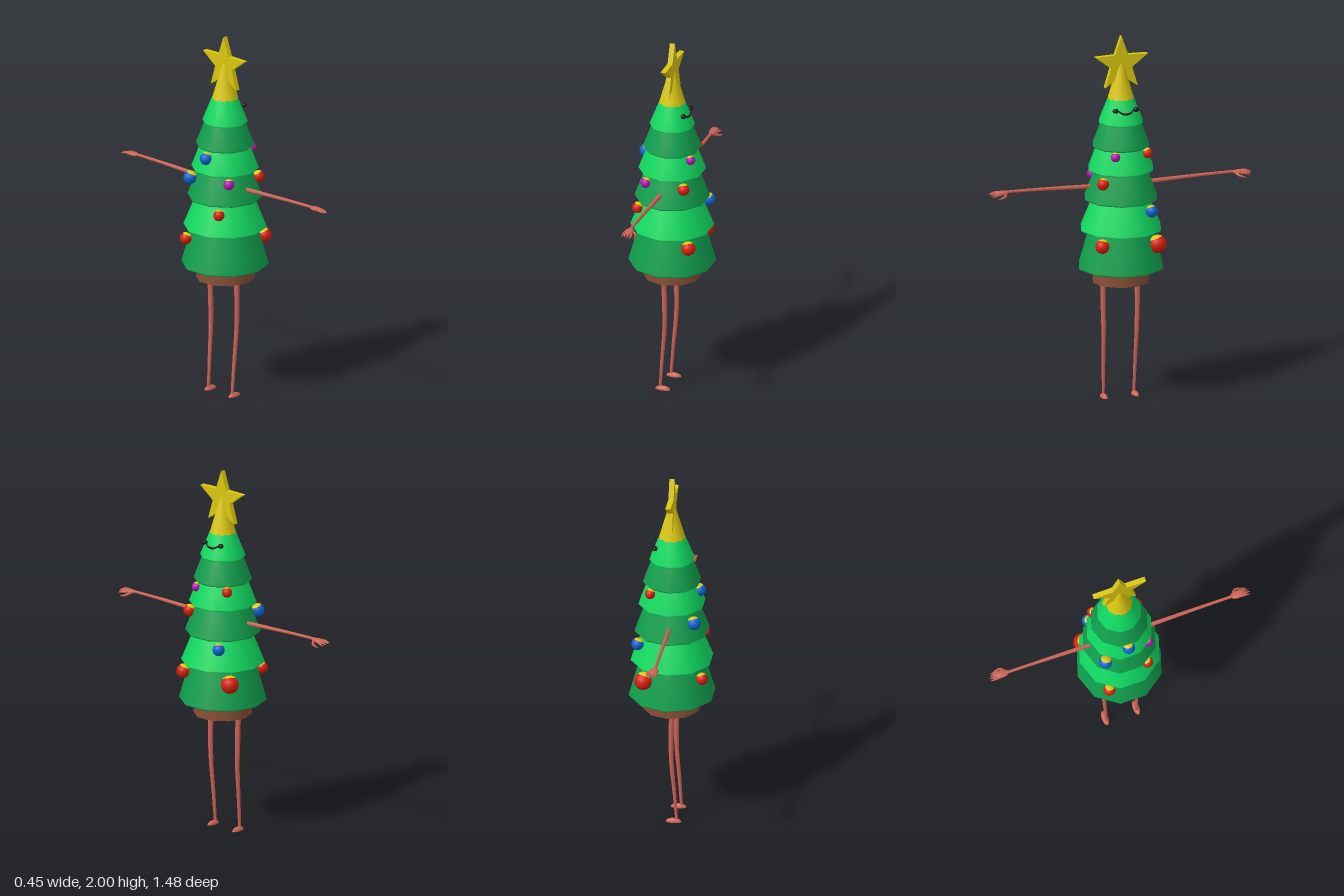
import * as THREE from 'three';

const mat = (name, color) => {
  const m = new THREE.MeshStandardMaterial({ color });
  m.name = name;
  return m;
};

export function createModel() {
  const root = new THREE.Group();
  root.name = 'treeCharacter';
  const lightGreen = mat('lightGreen', 0x10dc62);
  const darkGreen = mat('darkGreen', 0x10a04e);
  const yellow = mat('yellow', 0xdbc70f);
  const brown = mat('brown', 0x8a5038);
  const skin = mat('limbPink', 0xcc6355);
  const red = mat('red', 0xd81f0a);
  const blue = mat('blue', 0x0f62d0);
  const magenta = mat('magenta', 0xb812b8);
  const black = mat('black', 0x1c1c1c);

  const add = (name, geo, material, parent = root) => {
    const m = new THREE.Mesh(geo, material);
    m.name = name;
    parent.add(m);
    return m;
  };
  const v = (p) => new THREE.Vector3(...p);
  const lathe = (pts) => new THREE.LatheGeometry(pts.map(([x, y]) => new THREE.Vector2(x, y)), 10);

  // Tube along a curve whose radius follows a list of values
  const taper = (pts, radii, segs = 16, sides = 8) => {
    const curve = new THREE.CatmullRomCurve3(pts.map(v));
    const geo = new THREE.TubeGeometry(curve, segs, 1, sides);
    const pos = geo.attributes.position;
    const p = new THREE.Vector3();
    for (let i = 0; i <= segs; i++) {
      const c = curve.getPointAt(i / segs);
      const f = (i / segs) * (radii.length - 1);
      const k = Math.min(Math.floor(f), radii.length - 2);
      const r = THREE.MathUtils.lerp(radii[k], radii[k + 1], f - k);
      for (let j = 0; j <= sides; j++) {
        const n = i * (sides + 1) + j;
        p.fromBufferAttribute(pos, n).sub(c).multiplyScalar(r).add(c);
        pos.setXYZ(n, p.x, p.y, p.z);
      }
    }
    return geo;
  };

  // Foliage tiers: bottom y, top y, bottom radius, top radius
  [
    [0.72, 0.94, 0.235, 0.175],
    [0.93, 1.11, 0.224, 0.155],
    [1.1, 1.27, 0.202, 0.142],
    [1.26, 1.4, 0.181, 0.132],
    [1.39, 1.53, 0.157, 0.108],
    [1.52, 1.66, 0.122, 0.07],
  ].forEach(([y0, y1, r0, r1], i) => {
    const tier = new THREE.Group();
    tier.name = 'foliageTier' + (i + 1);
    root.add(tier);
    const m = i % 2 ? lightGreen : darkGreen;
    add('skirt', lathe([[r0 - 0.008, y0], [r0, y0 + 0.01], [r1, y1]]), m, tier);
    add('underside', lathe([[0, y0 + 0.012], [r0 * 0.7, y0 + 0.012], [r0 - 0.008, y0]]), m, tier);
    add('top', lathe([[r1, y1], [0, y1]]), m, tier);
  });

  // Trunk
  const trunk = add('trunk', new THREE.CylinderGeometry(0.157, 0.157, 0.1, 10), brown);
  trunk.position.y = 0.695;

  // Topper: cone and five-pointed star facing sideways
  const cone = add('topperCone', new THREE.CylinderGeometry(0.01, 0.071, 0.21, 14), yellow);
  cone.position.y = 1.76;
  const starShape = new THREE.Shape();
  for (let i = 0; i < 10; i++) {
    const r = i % 2 ? 0.063 : 0.156;
    const a = Math.PI / 2 + (i * Math.PI) / 5;
    starShape[i ? 'lineTo' : 'moveTo'](r * Math.cos(a), r * Math.sin(a));
  }
  starShape.closePath();
  const starGeo = new THREE.ExtrudeGeometry(starShape, { depth: 0.028, bevelEnabled: false });
  starGeo.translate(0, 0, -0.014).rotateY(Math.PI / 2);
  add('star', starGeo, yellow).position.y = 1.844;

  // Face on the +x side
  for (const s of [1, -1]) {
    const eye = add('eye', new THREE.SphereGeometry(1, 14, 10), black);
    eye.scale.set(0.014, 0.013, 0.017);
    eye.position.set(0.083, 1.607, s * 0.057);
  }
  add('smile', taper(
    [[0.085, 1.604, 0.04], [0.093, 1.592, 0.024], [0.096, 1.588, 0], [0.093, 1.592, -0.024], [0.085, 1.604, -0.04]],
    [0.004, 0.0065, 0.004]), black);

  // Baubles: x, y, z, radius, colour
  [
    [0.13, 1.365, 0.074, 0.025, magenta],
    [-0.105, 1.22, 0.125, 0.029, magenta],
    [0.1, 1.365, -0.117, 0.028, red],
    [0.113, 1.217, 0.138, 0.032, red],
    [0.145, 0.882, 0.153, 0.038, red],
    [0.13, 0.865, -0.163, 0.048, red],
    [-0.16, 1.055, 0.103, 0.03, red],
    [-0.18, 0.88, -0.12, 0.032, red],
    [0.168, 1.06, -0.117, 0.033, blue],
    [-0.15, 1.35, 0, 0.034, blue],
    [-0.138, 1.212, -0.127, 0.036, blue],
  ].forEach(([x, y, z, r, m]) => {
    const bauble = new THREE.Group();
    bauble.name = 'bauble';
    bauble.position.set(x, y, z);
    // Lean the cap towards the tree
    const up = new THREE.Vector3(-x, 0, -z).setLength(0.4).setY(1).normalize();
    bauble.quaternion.setFromUnitVectors(new THREE.Vector3(0, 1, 0), up);
    root.add(bauble);
    add('ball', new THREE.SphereGeometry(r, 18, 12), m, bauble);
    add('cap', new THREE.SphereGeometry(r * 1.05, 18, 5, 0, Math.PI * 2, 0, 0.85), yellow, bauble);
  });

  // Limbs, one set on each side
  for (const s of [1, -1]) {
    const side = (pts) => pts.map(([x, y, z]) => [x, y, z * s]);
    const arm = new THREE.Group();
    arm.name = s > 0 ? 'frontArm' : 'backArm';
    const leg = new THREE.Group();
    leg.name = s > 0 ? 'frontLeg' : 'backLeg';
    root.add(arm, leg);

    add('armTube', taper(side([[-0.008, 1.176, 0.12], [-0.008, 1.182, 0.3], [-0.008, 1.187, 0.48], [-0.008, 1.189, 0.65]]),
      [0.013, 0.011, 0.009, 0.008]), skin, arm);
    const palm = add('palm', new THREE.SphereGeometry(1, 12, 8), skin, arm);
    palm.scale.set(0.023, 0.012, 0.042);
    palm.position.set(-0.006, 1.186, s * 0.668);
    // Fingers and thumb
    [
      [[-0.02, 1.187, 0.67], [-0.023, 1.188, 0.7], [-0.023, 1.181, 0.736]],
      [[-0.01, 1.187, 0.67], [-0.011, 1.188, 0.7], [-0.01, 1.18, 0.738]],
      [[0.002, 1.185, 0.67], [0.004, 1.184, 0.7], [0.002, 1.176, 0.733]],
      [[0.008, 1.182, 0.67], [0.017, 1.18, 0.698], [0.016, 1.17, 0.726]],
      [[0.002, 1.183, 0.645], [0.029, 1.171, 0.663], [0.032, 1.16, 0.7]],
    ].forEach((pts, i) => add(i < 4 ? 'finger' : 'thumb', taper(side(pts), [0.008, 0.007, 0.006, 0.001], 8, 6), skin, arm));

    add('legTube', taper(side([[-0.014, 0.67, 0.097], [-0.01, 0.5, 0.096], [-0.011, 0.36, 0.093], [-0.026, 0.18, 0.089], [-0.038, 0.012, 0.086]]),
      [0.015, 0.014, 0.012, 0.01, 0.008]), skin, leg);
    const foot = add('foot', new THREE.SphereGeometry(1, 14, 10, 0, Math.PI * 2, 0, Math.PI / 2), skin, leg);
    foot.scale.set(0.043, 0.021, 0.018);
    foot.position.set(-0.022, 0, s * 0.088);
    const sole = add('sole', new THREE.CircleGeometry(1, 14).rotateX(Math.PI / 2), skin, leg);
    sole.scale.copy(foot.scale);
    sole.position.copy(foot.position);
  }
  return root;
}
